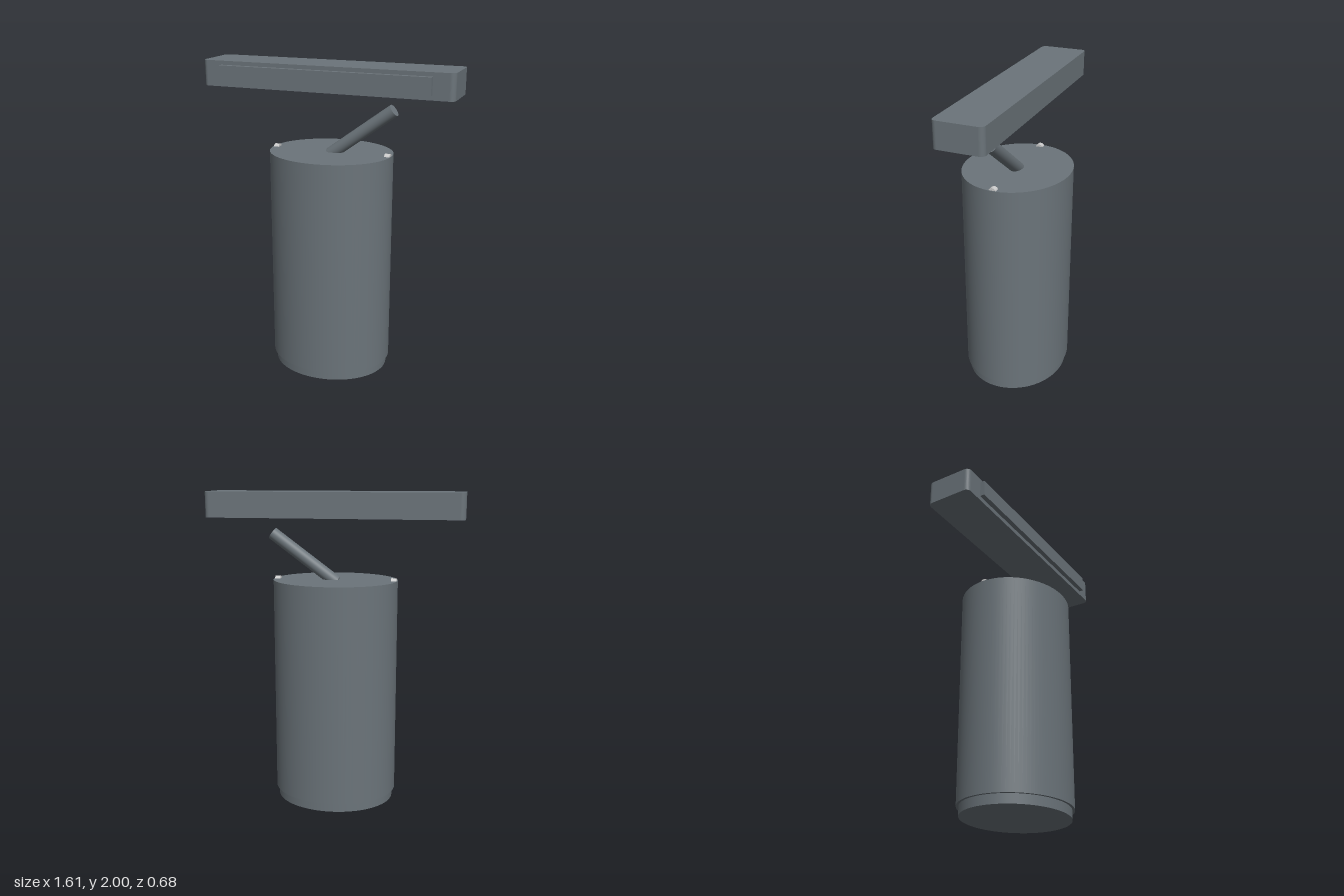
import * as THREE from 'three';

const dark = new THREE.MeshStandardMaterial({ color: 0x6b747a });
const light = new THREE.MeshStandardMaterial({ color: 0xcccccc });

export function createModel() {
  const model = new THREE.Group();

  function add(name, geometry, material, x, y, z) {
    const mesh = new THREE.Mesh(geometry, material);
    mesh.name = name;
    mesh.position.set(x, y, z);
    model.add(mesh);
    return mesh;
  }

  // upright drum with an oval cross-section
  function oval(name, rx, rz, y0, y1) {
    const geometry = new THREE.CylinderGeometry(1, 1, y1 - y0, 96);
    geometry.scale(rx, 1, rz);
    return add(name, geometry, dark, 0, (y0 + y1) / 2, 0);
  }

  oval('base', 0.38, 0.325, 0, 0.06);
  oval('body', 0.397, 0.341, 0.06, 1.45);

  // small round pins half sunk into the rim, one on each side
  for (const side of [-1, 1]) {
    const pin = new THREE.CylinderGeometry(0.025, 0.025, 0.034, 24);
    pin.rotateZ(Math.PI / 2);
    add(side > 0 ? 'leftPin' : 'rightPin', pin, light, side * 0.374, 1.441, 0);
  }

  // slanted rod rising from the middle of the lid
  const from = new THREE.Vector3(-0.006, 1.433, 0);
  const to = new THREE.Vector3(0.408, 1.738, 0);
  const along = to.clone().sub(from);
  const middle = from.clone().add(to).multiplyScalar(0.5);
  const rod = add('rod', new THREE.CylinderGeometry(0.04, 0.04, along.length(), 32), dark,
    middle.x, middle.y, middle.z);
  rod.quaternion.setFromUnitVectors(new THREE.Vector3(0, 1, 0), along.normalize());

  // floating bar with rounded upright edges
  const w = 0.807, d = 0.152, r = 0.032;
  const plan = new THREE.Shape();
  plan.absarc(w - r, d - r, r, 0, Math.PI / 2);
  plan.absarc(-w + r, d - r, r, Math.PI / 2, Math.PI);
  plan.absarc(-w + r, -d + r, r, Math.PI, Math.PI * 1.5);
  plan.absarc(w - r, -d + r, r, Math.PI * 1.5, Math.PI * 2);
  const bar = new THREE.ExtrudeGeometry(plan, { depth: 0.16, bevelEnabled: false, curveSegments: 10 });
  bar.rotateX(-Math.PI / 2);
  add('bar', bar, dark, 0, 1.84, 0);

  // raised strip on the front of the bar
  add('frontStrip', new THREE.BoxGeometry(1.352, 0.106, 0.05), dark, 0, 1.922, 0.158);

  return model;
}
